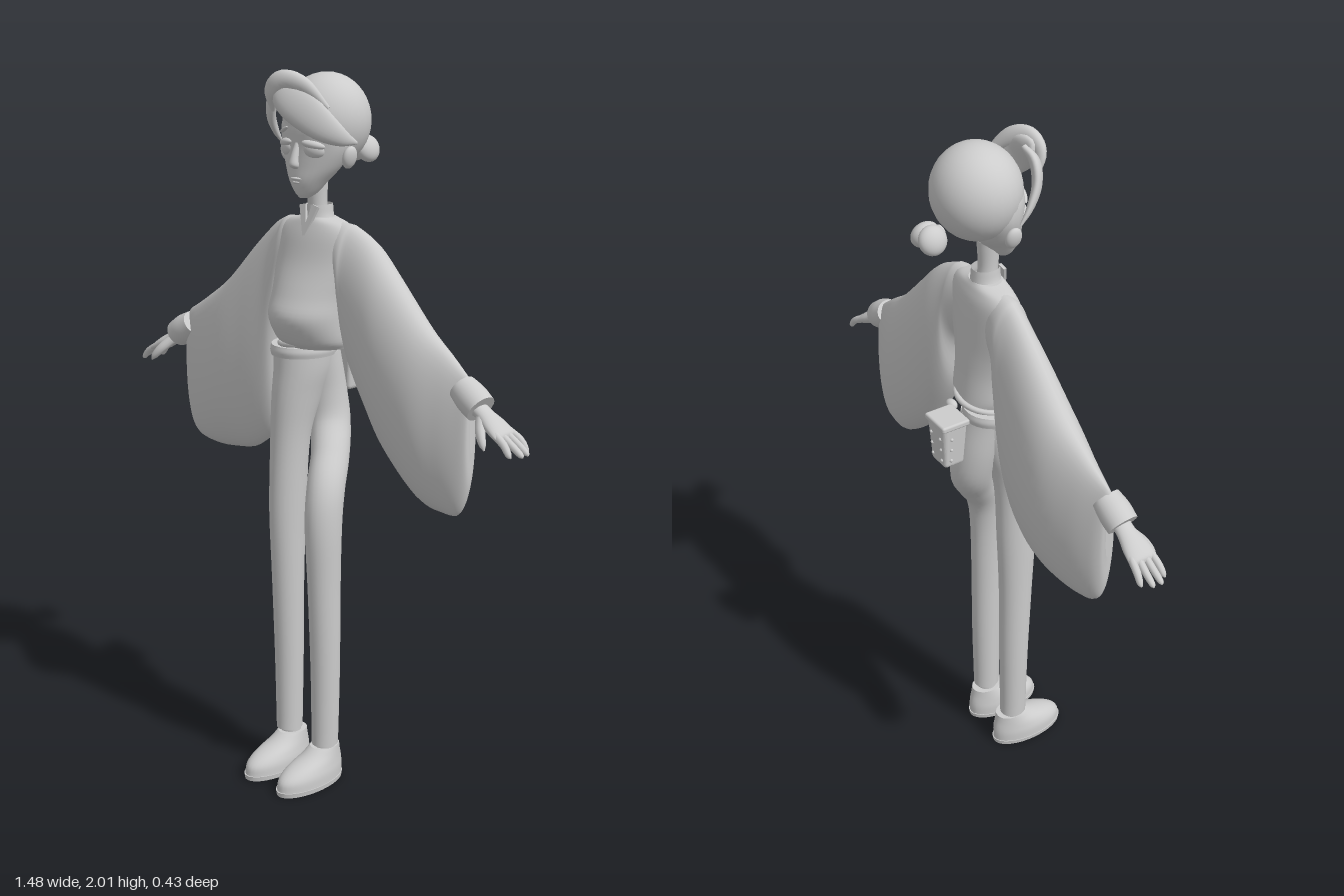
import * as THREE from 'three';
import { RoundedBoxGeometry } from 'three/addons/geometries/RoundedBoxGeometry.js';

const V = (x, y, z) => new THREE.Vector3(x, y, z);

// Smooth body through sections [x, y, z, halfWidth, halfDepth]; depth lies along `normal`.
// A fixed `axis` keeps every ring parallel, otherwise rings follow the path.
function sweep(sections, { normal = V(0, 0, 1), axis = null, seg = 24, sub = 5, caps = true } = {}) {
  const path = new THREE.CatmullRomCurve3(sections.map(s => V(s[0], s[1], s[2])), false, 'catmullrom');
  const size = new THREE.CatmullRomCurve3(sections.map(s => V(s[3], s[4], 0)), false, 'catmullrom');
  const n = (sections.length - 1) * sub, pos = [], idx = [];
  const ring = (t, k) => {
    const c = path.getPoint(t), r = size.getPoint(t);
    const tan = axis || path.getTangent(t);
    const w = tan.clone().cross(normal).normalize(), d = w.clone().cross(tan).normalize();
    for (let j = 0; j < seg; j++) {
      const a = j / seg * Math.PI * 2;
      const p = c.clone().addScaledVector(w, Math.max(r.x, 0.0005) * k * Math.cos(a))
        .addScaledVector(d, Math.max(r.y, 0.0005) * k * Math.sin(a));
      pos.push(p.x, p.y, p.z);
    }
  };
  const join = (a, b) => {
    for (let j = 0; j < seg; j++) {
      const k = (j + 1) % seg;
      idx.push(a * seg + j, b * seg + j, a * seg + k, b * seg + j, b * seg + k, a * seg + k);
    }
  };
  for (let i = 0; i <= n; i++) ring(i / n, 1);
  for (let i = 0; i < n; i++) join(i, i + 1);
  if (caps) {
    ring(0, 0.01); ring(0, 1); ring(1, 1); ring(1, 0.01);
    join(n + 1, n + 2); join(n + 3, n + 4);
  }
  const g = new THREE.BufferGeometry();
  g.setAttribute('position', new THREE.Float32BufferAttribute(pos, 3));
  g.setIndex(idx);
  g.computeVertexNormals();
  return g;
}

export function createModel() {
  const clay = new THREE.MeshStandardMaterial({ color: 0xcccccc, side: THREE.DoubleSide });
  clay.name = 'light grey';
  const model = new THREE.Group();
  const UP = V(0, 1, 0), SIDE = V(1, 0, 0);
  const add = (name, geo, x = 0, y = 0, z = 0) => {
    const m = new THREE.Mesh(geo, clay);
    m.name = name;
    m.position.set(x, y, z);
    model.add(m);
    return m;
  };
  const ball = (name, x, y, z, rx, ry, rz, tilt = 0) => {
    const m = add(name, new THREE.SphereGeometry(1, 28, 20), x, y, z);
    m.scale.set(rx, ry, rz);
    m.rotation.z = tilt;
    return m;
  };

  // Head
  ball('skullHair', 0, 1.872, -0.037, 0.12, 0.124, 0.116);
  add('face', sweep([
    [0, 1.675, 0.045, 0.014, 0.014], [0, 1.69, 0.037, 0.032, 0.032], [0, 1.72, 0.028, 0.055, 0.05],
    [0, 1.76, 0.01, 0.085, 0.066], [0, 1.81, 0, 0.107, 0.074], [0, 1.86, 0, 0.108, 0.078],
    [0, 1.91, -0.01, 0.095, 0.075]], { axis: UP }));
  add('nose', sweep([[0, 1.82, 0.068, 0.008, 0.008], [0, 1.785, 0.08, 0.011, 0.011],
    [0, 1.762, 0.083, 0.014, 0.013], [0, 1.752, 0.075, 0.005, 0.005]], { axis: UP, seg: 12 }));
  ball('upperLip', 0, 1.727, 0.074, 0.02, 0.005, 0.009);
  ball('lowerLip', 0, 1.717, 0.071, 0.016, 0.005, 0.009);
  for (const s of [1, -1]) {
    ball('eye', s * 0.05, 1.803, 0.056, 0.031, 0.022, 0.016, s * -0.12).rotation.y = s * 0.4;
    ball('eyelid', s * 0.05, 1.817, 0.06, 0.034, 0.012, 0.016, s * -0.15).rotation.y = s * 0.4;
    ball('eyebrow', s * 0.05, 1.85, 0.071, 0.026, 0.005, 0.007, s * -0.35).rotation.y = s * 0.4;
    ball('ear', s * 0.117, 1.785, -0.005, 0.014, 0.03, 0.023, s * -0.25);
    ball('hairBun', s * 0.018 - 0.006, 1.788, -0.178, 0.026, 0.038, 0.038, s * 0.4);
  }
  ball('bunTie', -0.005, 1.79, -0.148, 0.022, 0.022, 0.014);

  // Swept fringe: a long lock to one side and a short one to the other
  add('longFringe', sweep([
    [-0.045, 1.955, 0.098, 0.008, 0.006], [-0.02, 1.958, 0.105, 0.038, 0.018],
    [0.025, 1.925, 0.1, 0.05, 0.02], [0.075, 1.875, 0.068, 0.042, 0.018],
    [0.108, 1.84, 0.025, 0.026, 0.015], [0.118, 1.82, -0.03, 0.004, 0.004]],
    { normal: V(0.5, 0.3, 1).normalize() }));
  add('fringeCrest', sweep([
    [-0.06, 1.9, 0.1, 0.006, 0.006], [-0.045, 1.95, 0.118, 0.024, 0.015],
    [-0.01, 1.98, 0.112, 0.026, 0.019], [0.04, 1.965, 0.085, 0.024, 0.018],
    [0.09, 1.91, 0.045, 0.006, 0.006]]));
  add('shortFringe', sweep([
    [-0.03, 1.97, 0.08, 0.01, 0.008], [-0.066, 1.94, 0.09, 0.028, 0.014],
    [-0.09, 1.89, 0.08, 0.027, 0.013], [-0.106, 1.845, 0.05, 0.016, 0.009],
    [-0.112, 1.81, 0.02, 0.003, 0.003]], { normal: V(-0.6, 0.2, 1).normalize() }));

  // Neck and collar
  add('neck', sweep([[0, 1.6, -0.01, 0.032, 0.032], [0, 1.65, -0.003, 0.026, 0.026],
    [0, 1.73, 0, 0.03, 0.032]], { axis: UP }));
  add('collar', sweep([[0, 1.595, -0.01, 0.052, 0.044], [0, 1.625, -0.01, 0.038, 0.04],
    [0, 1.655, -0.01, 0.034, 0.038]], { axis: UP, caps: false }));
  for (const s of [1, -1]) {
    const flap = new THREE.Shape([[0, -0.085], [s * 0.035, 0.005], [s * 0.012, 0.01], [0, -0.04]]
      .map(p => new THREE.Vector2(...p)));
    add('collarFlap', new THREE.ExtrudeGeometry(flap, { depth: 0.008, bevelEnabled: false }), 0, 1.645, 0.024)
      .rotation.x = -0.25;
  }

  // Blouse
  add('blouse', sweep([
    [0, 1.275, -0.005, 0.1, 0.088], [0, 1.3, 0.01, 0.112, 0.1], [0, 1.36, 0.026, 0.117, 0.11],
    [0, 1.42, 0.016, 0.122, 0.096], [0, 1.5, 0, 0.138, 0.075], [0, 1.57, -0.008, 0.14, 0.06],
    [0, 1.605, -0.01, 0.11, 0.048], [0, 1.622, -0.01, 0.05, 0.04]], { axis: UP, seg: 36 }));

  // Wide hanging sleeves: [x, top, bottom, middle z, half depth]
  const sleeve = (name, rows) => add(name, sweep(
    rows.map(([x, t, b, z, d]) => [x, (t + b) / 2, z, (t - b) / 2, d]), { axis: SIDE, seg: 36 }));
  sleeve('leftSleeve', [
    [0.05, 1.615, 1.45, -0.01, 0.045], [0.11, 1.612, 1.37, -0.012, 0.058], [0.135, 1.605, 1.23, -0.016, 0.064],
    [0.2, 1.568, 1.11, -0.02, 0.076], [0.275, 1.495, 1.01, -0.018, 0.084], [0.39, 1.385, 0.918, -0.012, 0.078],
    [0.47, 1.328, 0.9, -0.01, 0.056], [0.52, 1.29, 0.91, -0.008, 0.038], [0.55, 1.265, 0.985, -0.006, 0.022],
    [0.556, 1.24, 1.08, -0.006, 0.008]]);
  sleeve('rightSleeve', [
    [-0.05, 1.615, 1.45, -0.01, 0.045], [-0.11, 1.612, 1.37, -0.012, 0.058], [-0.135, 1.605, 1.21, -0.014, 0.064],
    [-0.17, 1.585, 1.02, -0.015, 0.07], [-0.25, 1.515, 0.93, -0.015, 0.08], [-0.36, 1.408, 0.902, -0.014, 0.085],
    [-0.46, 1.34, 0.9, -0.012, 0.06], [-0.52, 1.303, 0.92, -0.008, 0.038], [-0.545, 1.285, 0.98, -0.006, 0.022],
    [-0.552, 1.25, 1.08, -0.006, 0.008]]);

  // Cuffs and hands
  for (const s of [1, -1]) {
    const side = s > 0 ? 'left' : 'right';
    add(side + 'Cuff', sweep([[s * 0.525, 1.25, 0, 0.036, 0.038], [s * 0.56, 1.228, 0.003, 0.042, 0.043],
      [s * 0.592, 1.207, 0.005, 0.04, 0.042]]));
    add(side + 'Palm', sweep([[s * 0.57, 1.215, 0.005, 0.022, 0.026], [s * 0.605, 1.195, 0.005, 0.018, 0.026],
      [s * 0.64, 1.175, 0.007, 0.019, 0.036], [s * 0.672, 1.156, 0.008, 0.014, 0.04],
      [s * 0.682, 1.15, 0.008, 0.004, 0.034]]));
    [[0.038, 0.722], [0.017, 0.74], [-0.005, 0.738], [-0.026, 0.72]].forEach(([z, tip]) => add(side + 'Finger',
      sweep([[s * 0.66, 1.163, z * 0.85 + 0.002, 0.011, 0.01], [s * 0.695, 1.143, z, 0.01, 0.01],
        [s * (tip - 0.008), 1.122, z * 1.08, 0.008, 0.008], [s * tip, 1.115, z * 1.08, 0.002, 0.002]],
      { seg: 10, sub: 3 })));
    add(side + 'Thumb', sweep([[s * 0.605, 1.19, 0.018, 0.015, 0.014], [s * 0.626, 1.162, 0.045, 0.014, 0.012],
      [s * 0.645, 1.138, 0.058, 0.01, 0.009], [s * 0.654, 1.124, 0.062, 0.002, 0.002]], { seg: 12 }));
  }

  // Trousers: one straight leg, and one that curls from the back of the hips
  add('rightLeg', sweep([
    [-0.074, 0.115, 0.04, 0.036, 0.04], [-0.074, 0.35, 0.04, 0.04, 0.044], [-0.072, 0.6, 0.045, 0.043, 0.05],
    [-0.07, 0.8, 0.046, 0.047, 0.058], [-0.065, 1.0, 0.04, 0.052, 0.06], [-0.058, 1.12, 0.02, 0.064, 0.078],
    [-0.052, 1.2, 0.002, 0.074, 0.09], [-0.052, 1.27, -0.004, 0.08, 0.092]], { axis: UP }));
  add('leftLeg', sweep([
    [0.075, 0.115, 0.04, 0.036, 0.04], [0.076, 0.35, 0.04, 0.04, 0.044], [0.076, 0.6, 0.045, 0.043, 0.05],
    [0.074, 0.78, 0.046, 0.048, 0.056], [0.062, 0.88, 0.025, 0.05, 0.056], [0.028, 0.96, -0.025, 0.05, 0.056],
    [-0.015, 1.04, -0.066, 0.055, 0.06], [-0.036, 1.13, -0.066, 0.062, 0.06], [-0.045, 1.24, -0.045, 0.07, 0.058]]));

  // Waistband and belt
  add('waistband', sweep([[-0.053, 1.24, -0.004, 0.084, 0.098], [-0.053, 1.255, -0.004, 0.087, 0.101],
    [-0.053, 1.27, -0.004, 0.084, 0.098]], { axis: UP, seg: 32 }));
  const belt = add('belt', new THREE.TorusGeometry(0.093, 0.008, 10, 40), -0.015, 1.282, -0.004);
  belt.rotation.set(Math.PI / 2, 0.12, 0);
  ball('beltKnot', 0.02, 1.255, -0.105, 0.02, 0.014, 0.014);

  // Belt pouch: tapered, with rim and studs
  const pouch = new THREE.Group();
  pouch.name = 'pouch';
  pouch.position.set(-0.03, 1.19, -0.15);
  model.add(pouch);
  const body = new RoundedBoxGeometry(0.085, 0.14, 0.075, 3, 0.012), p = body.attributes.position;
  for (let i = 0; i < p.count; i++) {
    const k = 0.92 + p.getY(i) * 1.6;
    p.setX(i, p.getX(i) * k);
    p.setZ(i, p.getZ(i) * k);
  }
  body.computeVertexNormals();
  const put = (name, geo, x, y, z) => {
    const m = new THREE.Mesh(geo, clay);
    m.name = name;
    m.position.set(x, y, z);
    pouch.add(m);
  };
  put('pouchBody', body, 0, 0, 0);
  put('pouchRim', new RoundedBoxGeometry(0.094, 0.018, 0.084, 2, 0.006), 0, 0.064, 0);
  const stud = new THREE.SphereGeometry(0.005, 8, 6);
  for (const y of [-0.045, -0.01, 0.025]) for (const s of [-1, 1]) {
    const k = 0.92 + y * 1.6;
    put('pouchStud', stud, s * 0.022, y, -0.0375 * k);
    put('pouchStud', stud, s * 0.0425 * k, y, -0.012);
  }

  // Shoes and ankles
  for (const s of [1, -1]) {
    const x = s * 0.068;
    add('sole', sweep([[x, 0, 0.095, 0.055, 0.118], [x, 0.014, 0.095, 0.057, 0.12]], { axis: UP, seg: 32, sub: 1 }));
    add('shoe', sweep([[x, 0.012, 0.095, 0.055, 0.117], [x, 0.04, 0.091, 0.054, 0.114],
      [x, 0.062, 0.077, 0.049, 0.098], [x, 0.085, 0.05, 0.042, 0.066], [x, 0.106, 0.034, 0.037, 0.046]],
      { axis: UP, seg: 32 }));
    add('ankle', new THREE.CylinderGeometry(0.031, 0.031, 0.06, 24), s * 0.072, 0.115, 0.038);
  }
  return model;
}
